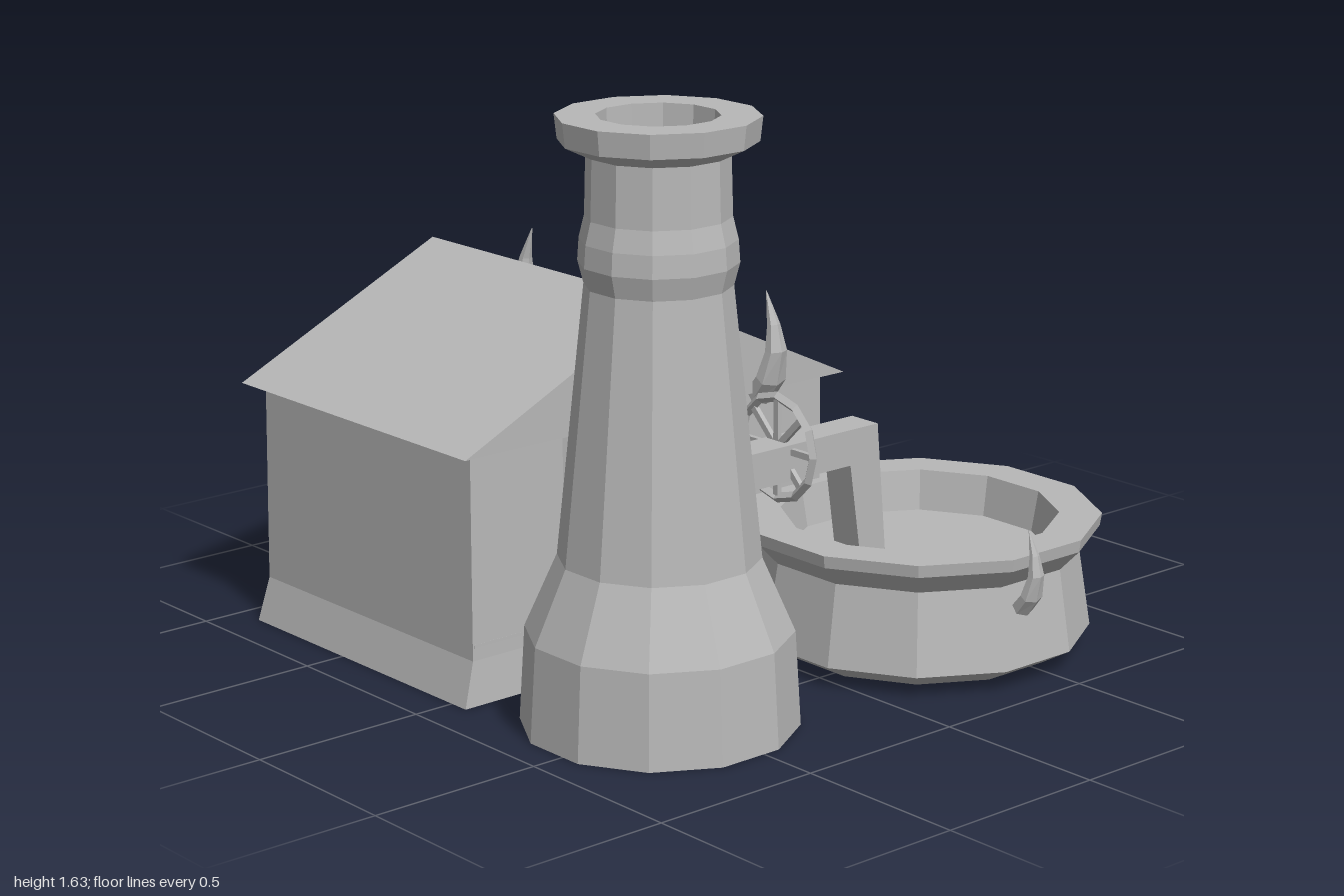
import * as THREE from 'three';

const stone = new THREE.MeshStandardMaterial({ color: 0xb8b8b8, side: THREE.DoubleSide });
stone.name = 'plain grey';

// One flat normal per face
function flat(geometry) {
  const g = geometry.index ? geometry.toNonIndexed() : geometry;
  g.computeVertexNormals();
  return g;
}

function add(parent, name, geometry, x = 0, y = 0, z = 0) {
  const mesh = new THREE.Mesh(flat(geometry), stone);
  mesh.name = name;
  mesh.position.set(x, y, z);
  parent.add(mesh);
  return mesh;
}

// Skin over cross-sections, each a loop of [x, y, z]
function loft(rings, capStart = true, capEnd = true) {
  const n = rings[0].length, index = [];
  for (let r = 0; r < rings.length - 1; r++) {
    for (let i = 0; i < n; i++) {
      const a = r * n + i, b = r * n + (i + 1) % n;
      index.push(a, b, b + n, a, b + n, a + n);
    }
  }
  const last = (rings.length - 1) * n;
  for (let i = 1; i < n - 1; i++) {
    if (capStart) index.push(0, i + 1, i);
    if (capEnd) index.push(last, last + i, last + i + 1);
  }
  const g = new THREE.BufferGeometry();
  g.setAttribute('position', new THREE.Float32BufferAttribute(rings.flat(2), 3));
  g.setIndex(index);
  return g;
}

const rect = (y, x0, x1, z0, z1) => [[x0, y, z1], [x1, y, z1], [x1, y, z0], [x0, y, z0]];

// Twelve-sided turned body; radii are measured to the flats
function turned(profile) {
  const k = 1 / Math.cos(Math.PI / 12);
  const points = profile.map(([r, y]) => new THREE.Vector2(r * k, y));
  return new THREE.LatheGeometry(points, 12, Math.PI / 12);
}

// Curved horn growing out along +x and then up
function horn() {
  const sections = [
    [0.0, 0.0, 0.05, 0.035, -0.9], [0.04, 0.05, 0.05, 0.03, -0.6],
    [0.06, 0.13, 0.034, 0.024, 0], [0.05, 0.2, 0.02, 0.016, 0.25], [0.02, 0.29, 0.001, 0.001, 0.3],
  ];
  return loft(sections.map(([u, y, w, t, tilt]) => Array.from({ length: 6 }, (_, i) => {
    const a = i * Math.PI / 3, c = t * Math.cos(a);
    return [u + c * Math.cos(tilt), y + c * Math.sin(tilt), -w * Math.sin(a)];
  })));
}

function placeHorn(parent, name, x, y, z, turn, size) {
  const mesh = add(parent, name, horn(), x, y, z);
  mesh.rotation.y = turn;
  mesh.scale.setScalar(size);
}

// Upright pentagon with a pointed top
function pentagon(half, shoulder, peak, depth) {
  const shape = new THREE.Shape([[-half, 0], [half, 0], [half, shoulder], [0, peak], [-half, shoulder]]
    .map(p => new THREE.Vector2(...p)));
  return new THREE.ExtrudeGeometry(shape, { depth, bevelEnabled: false });
}

function buildHouse() {
  const house = new THREE.Group();
  house.name = 'house';
  const cx = -0.425;

  // Walls with a flared foot, hollow underneath
  add(house, 'walls', loft([
    rect(0, -0.91, 0.06, -0.43, 0.88), rect(0.125, -0.9, 0.05, -0.42, 0.845),
    rect(0.7, -0.895, 0.045, -0.42, 0.84),
  ], false, false));
  add(house, 'floor', loft([rect(0.16, -0.9, 0.05, -0.42, 0.84), rect(0.17, -0.9, 0.05, -0.42, 0.84)]));

  // Gabled roof
  const gable = new THREE.Shape([[-0.89, 0.7], [0.47, 0.7], [-0.21, 1.02]].map(p => new THREE.Vector2(...p)));
  const roof = new THREE.ExtrudeGeometry(gable, { depth: 1.03, bevelEnabled: false });
  add(house, 'roof', roof.rotateY(Math.PI / 2), -0.94, 0, 0);

  // Window, leaning buttress and horn on each end wall
  for (const s of [-1, 1]) {
    const side = new THREE.Group();
    side.name = s < 0 ? 'rightEnd' : 'leftEnd';
    const wall = cx + s * 0.47;
    add(side, 'windowPanel', new THREE.BoxGeometry(0.03, 0.32, 0.35), wall, 0.335, 0.21);
    add(side, 'windowLintel', new THREE.BoxGeometry(0.08, 0.045, 0.42), wall, 0.515, 0.21);
    const wedge = (y, out, tipDrop) => {
      const p = [[wall - s * 0.03, y, 0.555], [wall + s * out, y + tipDrop, 0.5], [wall - s * 0.03, y, 0.445]];
      return s > 0 ? p : p.reverse();
    };
    add(side, 'buttress', loft([wedge(0.02, 0.095, 0.02), wedge(0.695, 0.03, 0)]));
    placeHorn(side, 'gableHorn', cx + s * 0.5, 0.69, -0.165, s > 0 ? 0 : Math.PI, 1.03);
    house.add(side);
  }

  // Doorway on the back wall
  const door = new THREE.Group();
  door.name = 'doorway';
  door.position.set(cx, 0, -0.41);
  door.rotation.y = Math.PI;
  add(door, 'doorFrame', pentagon(0.19, 0.39, 0.53, 0.04));
  add(door, 'doorLeaf', pentagon(0.145, 0.36, 0.465, 0.055));
  add(door, 'doorKnob', new THREE.BoxGeometry(0.035, 0.035, 0.04), -0.055, 0.21, 0.072);
  add(door, 'doorStep', new THREE.BoxGeometry(0.45, 0.03, 0.19), 0, 0.025, 0.095);
  for (const s of [-1, 1]) {
    placeHorn(door, 'doorHorn', s * 0.18, 0.37, 0.025, s > 0 ? 0 : Math.PI, 0.6);
  }
  house.add(door);
  return house;
}

function buildChimney() {
  const chimney = new THREE.Group();
  chimney.name = 'chimney';
  chimney.position.set(0.465, 0, 0.545);
  add(chimney, 'chimneyStack', turned([
    [0.36, 0], [0.345, 0.26], [0.26, 0.46], [0.187, 1.19], [0.202, 1.25], [0.198, 1.31],
    [0.184, 1.37], [0.18, 1.53], [0.25, 1.565], [0.257, 1.63], [0.155, 1.63], [0.148, 1.45],
  ]));
  add(chimney, 'flueFloor', turned([[0.15, 1.45], [0, 1.45]]));
  return chimney;
}

function buildBasin() {
  const basin = new THREE.Group();
  basin.name = 'basin';
  basin.position.set(0.455, 0, -0.42);
  add(basin, 'basinWall', turned([
    [0.38, 0.01], [0.465, 0.06], [0.43, 0.29], [0.485, 0.35], [0.49, 0.385], [0.375, 0.385], [0.355, 0.27],
  ]));
  add(basin, 'basinFloor', turned([[0.356, 0.27], [0, 0.27]]));
  placeHorn(basin, 'basinHorn', 0.46, 0.23, 0.06, 0, 0.76);
  return basin;
}

function buildSpout() {
  const spout = new THREE.Group();
  spout.name = 'spout';
  // Square pipe bending down into the basin
  const section = (zLow, yLow, zHigh, yHigh) => [
    [0.54, yLow, zLow], [0.44, yLow, zLow], [0.44, yHigh, zHigh], [0.54, yHigh, zHigh],
  ];
  add(spout, 'pipe', loft([
    section(0.36, 0.6, 0.36, 0.7), section(-0.07, 0.6, -0.17, 0.7), section(-0.12, 0.27, -0.21, 0.27),
  ]));
  // Spoked hand wheel
  const wheel = new THREE.Group();
  wheel.name = 'handWheel';
  wheel.position.set(0.48, 0.68, 0.143);
  add(wheel, 'wheelRim', new THREE.TorusGeometry(0.14, 0.014, 4, 12));
  for (let i = 0; i < 4; i++) {
    add(wheel, 'wheelSpoke', new THREE.BoxGeometry(0.27, 0.018, 0.014)).rotation.z = i * Math.PI / 4;
  }
  spout.add(wheel);
  return spout;
}

export function createModel() {
  const model = new THREE.Group();
  model.name = 'workshop';
  model.add(buildHouse(), buildChimney(), buildBasin(), buildSpout());
  return model;
}
